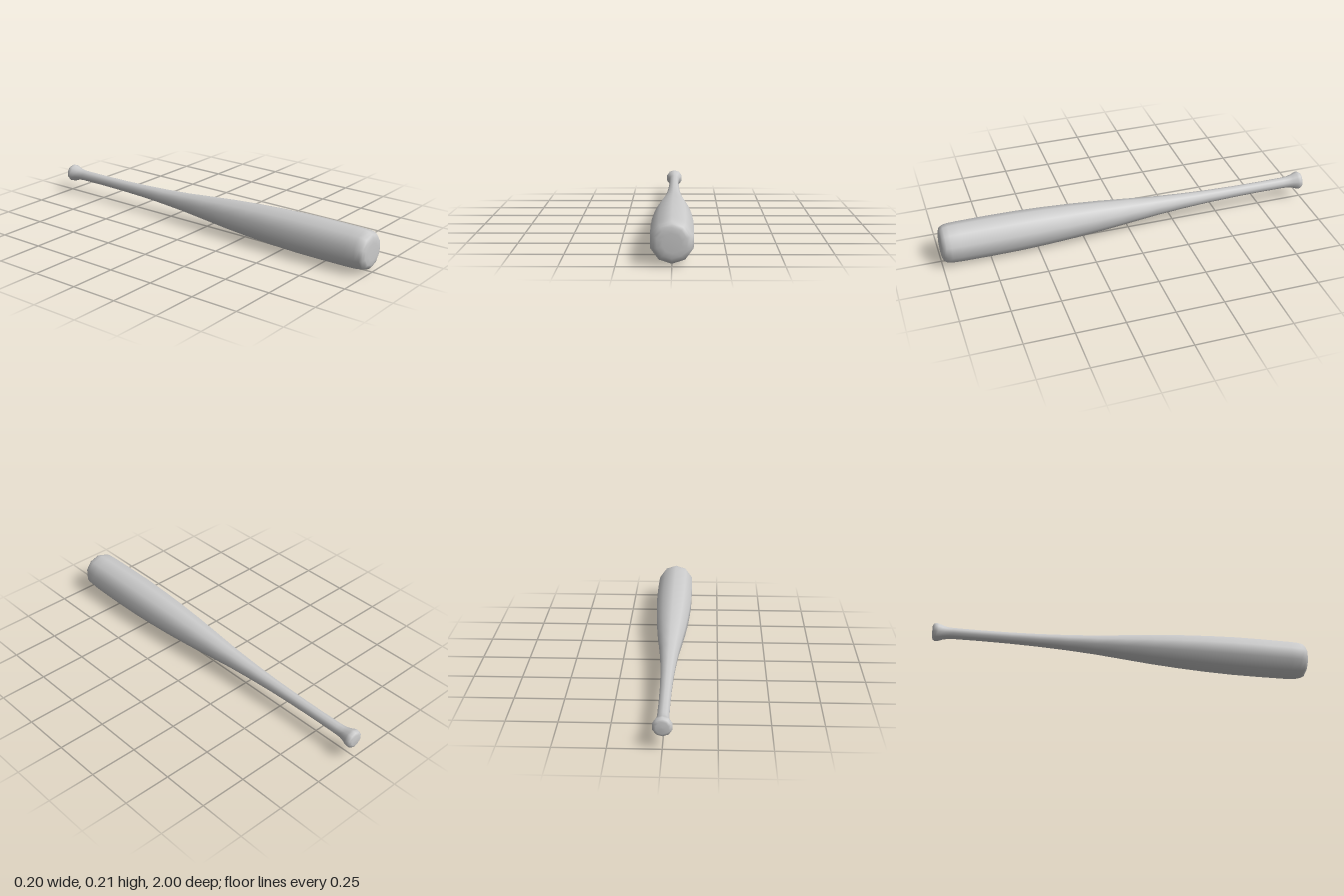
import * as THREE from 'three';

const SIDES = 10;
const AXIS_HEIGHT = 0.104;

// Turned section along z from [z, radius] pairs running back to front
function turned(name, profile, material) {
  const points = profile.map(([z, r]) => new THREE.Vector2(r, z));
  const geometry = new THREE.LatheGeometry(points, SIDES);
  geometry.rotateX(Math.PI / 2); // lathe axis to +z, a corner at the top
  const mesh = new THREE.Mesh(geometry, material);
  mesh.name = name;
  mesh.position.y = AXIS_HEIGHT;
  return mesh;
}

export function createModel() {
  const group = new THREE.Group();
  group.name = 'bat';
  const material = new THREE.MeshStandardMaterial({ color: 0xcccccc });

  // One continuous turned body: knob, grip, taper, barrel and rounded tip
  group.add(turned('batBody', [
    // knob
    [-1, 0], [-0.999, 0.03], [-0.994, 0.042], [-0.982, 0.048], [-0.968, 0.046],
    [-0.945, 0.037], [-0.92, 0.031], [-0.89, 0.029],
    // grip
    [-0.75, 0.0285], [-0.6, 0.03], [-0.45, 0.034],
    // taper
    [-0.3, 0.041], [-0.15, 0.051], [0, 0.065], [0.15, 0.079], [0.3, 0.09],
    // barrel
    [0.45, 0.098], [0.6, 0.103], [0.75, 0.104], [0.9, 0.103], [0.95, 0.101],
    // tip
    [0.975, 0.096], [0.99, 0.086], [0.997, 0.07], [1, 0.045], [1, 0],
  ], material));

  return group;
}
